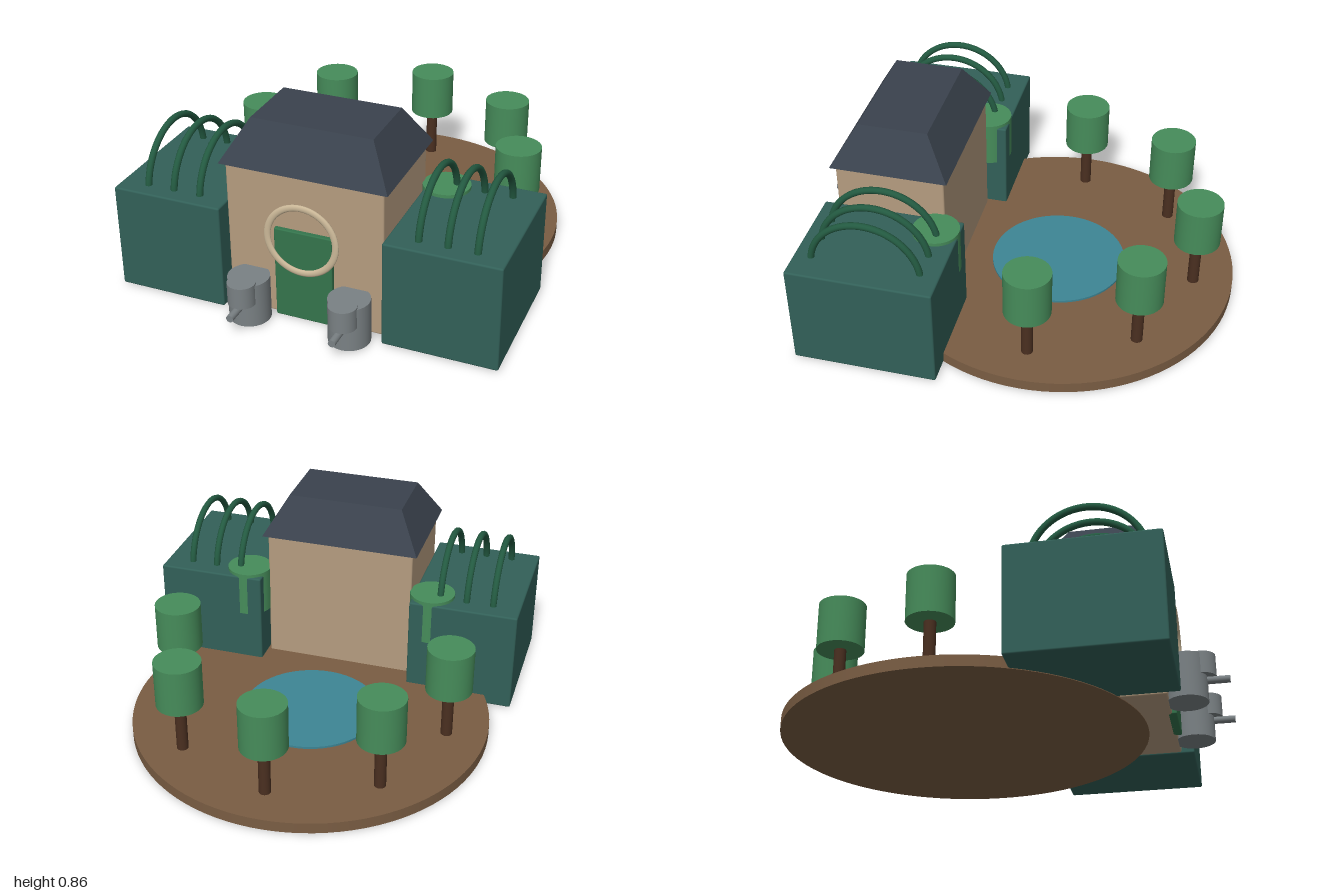
import * as THREE from 'three';
import { RoundedBoxGeometry } from 'three/addons/geometries/RoundedBoxGeometry.js';

const mat = (color, flatShading = false) => new THREE.MeshStandardMaterial({ color, flatShading });

export function createModel() {
  const root = new THREE.Group();
  const M = {
    earth: mat(0x7a5d43), water: mat(0x3d8595), leaf: mat(0x468c5a), bark: mat(0x4a2f20),
    wall: mat(0xb59c7f), roof: mat(0x3a424d, true), wing: mat(0x326058), arch: mat(0x235a41),
    door: mat(0x34744c), ring: mat(0xcbb898), stone: mat(0x7a8184),
  };
  const add = (name, geo, material, x, y, z, parent = root) => {
    const mesh = new THREE.Mesh(geo, material);
    mesh.name = name;
    mesh.position.set(x, y, z);
    parent.add(mesh);
    return mesh;
  };
  // Box and upright cylinder given by their bottom and top heights
  const box = (name, material, w, d, y0, y1, x, z, r = 0.008) =>
    add(name, new RoundedBoxGeometry(w, y1 - y0, d, 2, r), material, x, (y0 + y1) / 2, z);
  const cyl = (name, material, r, y0, y1, x, z, parent = root, seg = 32) =>
    add(name, new THREE.CylinderGeometry(r, r, y1 - y0, seg), material, x, (y0 + y1) / 2, z, parent);

  // Round garden with a central pond
  const gz = -0.185;
  cyl('gardenDisc', M.earth, 0.815, 0, 0.05, 0, gz, root, 96);
  cyl('pond', M.water, 0.31, 0.05, 0.06, 0, gz, root, 64);

  // Ring of trees, leaving out the spot where the house stands
  for (let i = 1; i < 8; i++) {
    const a = (i * Math.PI) / 4;
    const tree = new THREE.Group();
    tree.name = 'tree';
    tree.position.set(Math.sin(a) * 0.635, 0, gz + Math.cos(a) * 0.635);
    cyl('treeTrunk', M.bark, 0.026, 0.05, 0.3, 0, 0, tree, 20);
    cyl('treeCrown', M.leaf, 0.104, 0.285, 0.498, 0, 0, tree);
    root.add(tree);
  }

  // House body
  box('houseBody', M.wall, 0.7, 0.49, 0.003, 0.68, 0, 0.5);

  // Hipped roof: a box whose top is drawn inward
  const roofGeo = new THREE.BoxGeometry(0.745, 0.18, 0.53);
  const p = roofGeo.attributes.position;
  for (let i = 0; i < p.count; i++) {
    if (p.getY(i) > 0) p.setXYZ(i, Math.sign(p.getX(i)) * 0.27, p.getY(i), Math.sign(p.getZ(i)) * 0.157);
  }
  roofGeo.computeVertexNormals();
  add('roof', roofGeo, M.roof, 0, 0.767, 0.5);

  // Door and the round hoop in front of it
  box('door', M.door, 0.26, 0.04, 0.003, 0.425, 0, 0.745, 0.005);
  add('doorHoop', new THREE.TorusGeometry(0.153, 0.015, 12, 64), M.ring, 0, 0.398, 0.777).scale.z = 0.55;

  for (const s of [1, -1]) {
    // Side wing with three arched hoops on its roof
    box(s > 0 ? 'leftWing' : 'rightWing', M.wing, 0.5, 0.64, 0.003, 0.483, s * 0.612, 0.482);
    for (const x of [0.49, 0.613, 0.736]) {
      const arch = add('roofArch', new THREE.TorusGeometry(0.242, 0.015, 10, 40, Math.PI), M.arch, s * x, 0.448, 0.487);
      arch.rotation.y = Math.PI / 2;
    }
    // Stone figure beside the door: body, head and spout
    const statue = new THREE.Group();
    statue.name = 'statue';
    statue.position.set(s * 0.228, 0, 0);
    cyl('statueBody', M.stone, 0.09, 0.005, 0.203, 0, 0.817, statue);
    cyl('statueHead', M.stone, 0.061, 0.113, 0.211, 0, 0.884, statue);
    const spout = add('statueSpout', new THREE.CylinderGeometry(0.016, 0.016, 0.14, 16), M.stone, 0, 0.099, 0.93, statue);
    spout.rotation.x = Math.PI / 2;
    root.add(statue);
  }
  return root;
}
